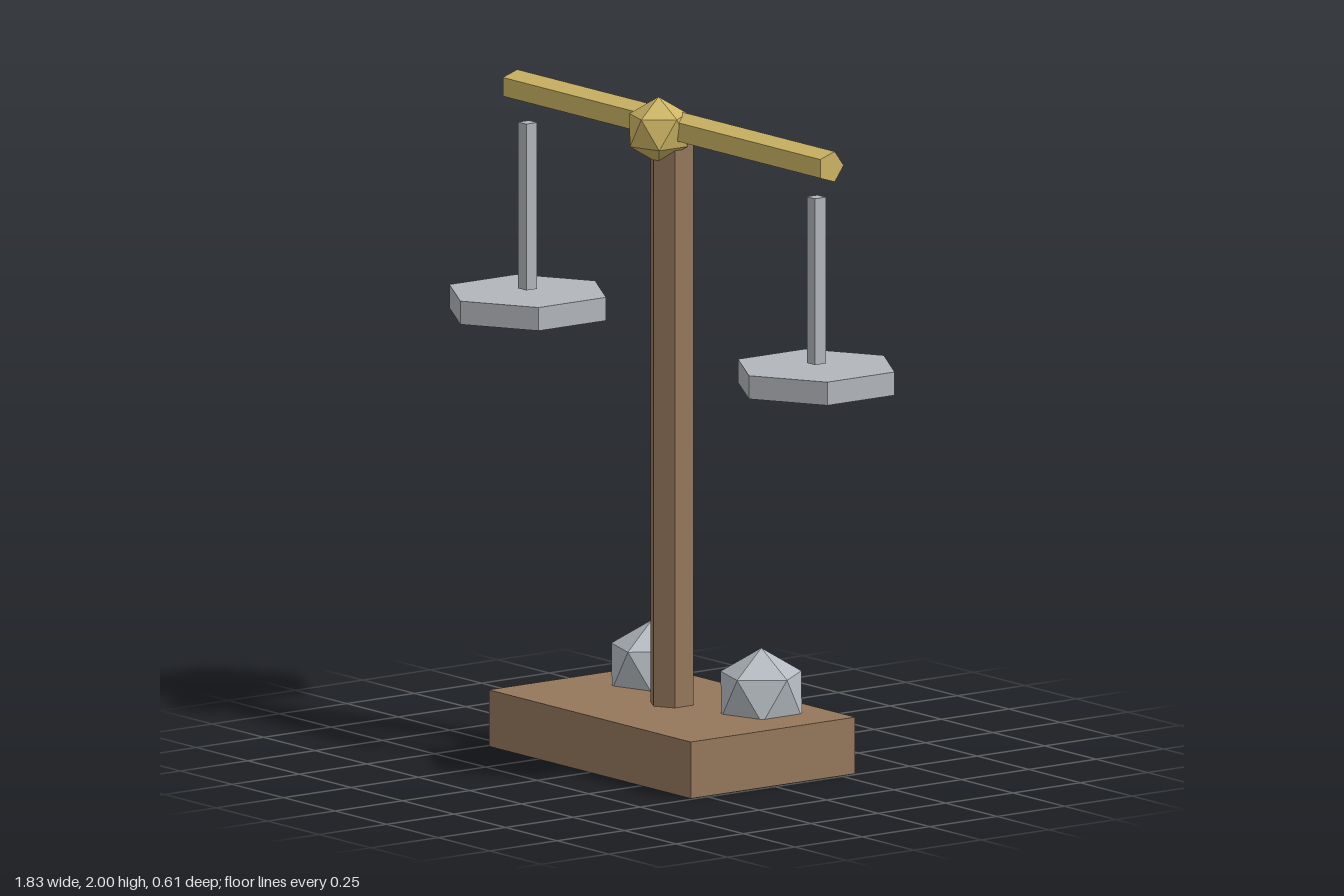
import * as THREE from 'three';

const material = (name, color) => {
  const m = new THREE.MeshStandardMaterial({ color, flatShading: true });
  m.name = name;
  return m;
};

export function createModel() {
  const group = new THREE.Group();
  const wood = material('wood', 0x94775b);
  const brass = material('brass', 0xcdb564);
  const silver = material('silver', 0xb2b5ba);
  const stone = material('stone', 0xb4bac0);

  const add = (name, geometry, mat, x, y, z) => {
    const mesh = new THREE.Mesh(geometry, mat);
    mesh.name = name;
    mesh.position.set(x, y, z);
    group.add(mesh);
    return mesh;
  };

  // Icosahedron standing on a corner, so one point faces straight up
  const gem = (r) =>
    new THREE.IcosahedronGeometry(r, 0).rotateZ(-Math.atan(2 / (1 + Math.sqrt(5))));

  // Base slab and hexagonal post
  add('base', new THREE.BoxGeometry(0.98, 0.17, 0.61), wood, 0, 0.085, 0);
  add('post', new THREE.CylinderGeometry(0.068, 0.068, 1.76, 6), wood, 0, 1.05, 0);

  // Five-sided beam with its ridge at the back, and the pivot knob in front
  const beam = new THREE.CylinderGeometry(0.048, 0.048, 1.54, 5);
  beam.rotateY(Math.PI).rotateZ(Math.PI / 2);
  add('beam', beam, brass, 0, 1.905, 0);
  add('pivotKnob', gem(0.1), brass, 0, 1.9, 0.05);

  // Hanger rods and hexagonal pans
  for (const [side, s] of [['left', 1], ['right', -1]]) {
    add(side + 'Hanger', new THREE.BoxGeometry(0.04, 0.5, 0.04), silver, s * 0.7, 1.555, 0);
    add(side + 'Pan', new THREE.CylinderGeometry(0.25, 0.25, 0.07, 6), silver, s * 0.7, 1.263, 0);
  }

  // Weights resting on the back of the base
  add('leftWeight', gem(0.14), stone, 0.25, 0.22, -0.14);
  add('rightWeight', gem(0.14), stone, -0.28, 0.22, -0.14);

  return group;
}
